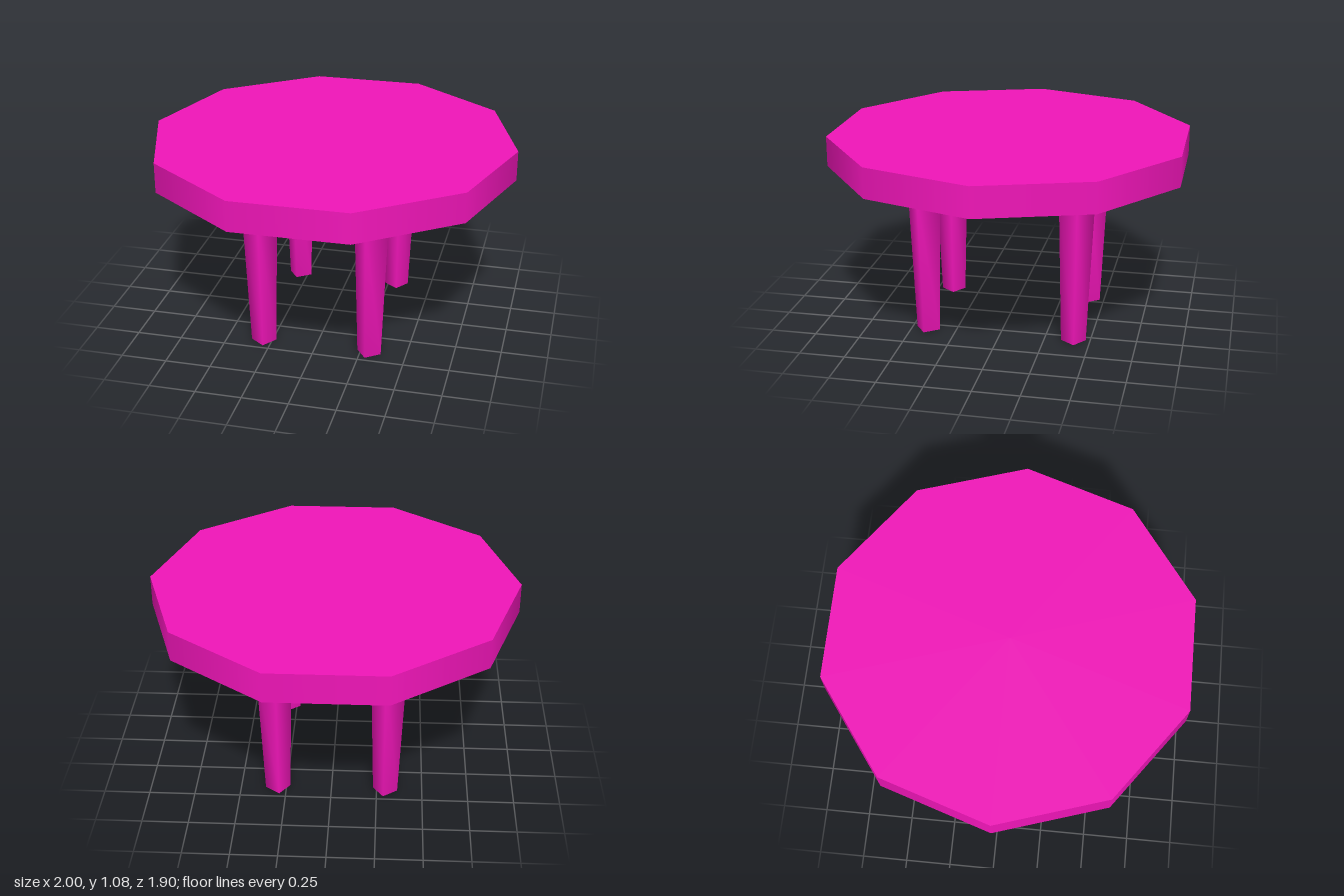
import * as THREE from 'three';

const SIDES = 10, APRON_Y = 0.79, TOP_Y = 0.915, HEIGHT = 1.08;
const R_TOP = 0.47, R_BOTTOM = 0.45; // apron radii

function mesh(name, geometry, material) {
  const m = new THREE.Mesh(geometry, material);
  m.name = name;
  return m;
}

// Geometry from corner points and triangles; shared corners give smooth normals
function solid(points, faces) {
  const g = new THREE.BufferGeometry();
  g.setAttribute('position', new THREE.Float32BufferAttribute(points.flat(), 3));
  g.setIndex(faces.flat());
  g.computeVertexNormals();
  return g;
}

// Square leg section: x runs outward, z along the apron side
const ring = (r, h, y) => [[r + h, y, h], [r - h, y, h], [r - h, y, -h], [r + h, y, -h]];

export function createModel() {
  const group = new THREE.Group();
  const color = 0xf015b8;
  const smooth = new THREE.MeshStandardMaterial({ color });
  const flat = new THREE.MeshStandardMaterial({ color, flatShading: true });

  // Ten-sided table top
  const top = new THREE.CylinderGeometry(1, 1, HEIGHT - TOP_Y, SIDES);
  top.rotateY(Math.PI / 2).translate(0, (HEIGHT + TOP_Y) / 2, 0);
  group.add(mesh('tableTop', top, smooth));

  // Tapered apron under the top
  const apron = new THREE.CylinderGeometry(R_TOP, R_BOTTOM, TOP_Y - APRON_Y, SIDES);
  apron.rotateY(Math.PI / 2).translate(0, (TOP_Y + APRON_Y) / 2, 0);
  group.add(mesh('apron', apron, flat));

  // Leg: tapered shaft whose outer side runs on up to the table top
  const foot = ring(0.505, 0.048, 0);
  const knee = ring(0.514, 0.067, APRON_Y);
  const head = [[0.583, TOP_Y, 0.068], [0.583, TOP_Y, -0.068]];
  const shaftFaces = [];
  for (let i = 0; i < 4; i++) {
    const j = (i + 1) % 4;
    shaftFaces.push([i, i + 4, j + 4], [i, j + 4, j]);
  }
  shaftFaces.push([4, 8, 5], [6, 9, 7], [7, 9, 8], [7, 8, 4]);
  const shaft = solid([...foot, ...knee, ...head], shaftFaces);
  const cap = solid(foot, [[0, 1, 2], [0, 2, 3]]);

  // Gussets spreading from the leg to the ends of its apron side
  const a = Math.PI / SIDES;
  const end = (r, y, s) => [r * Math.cos(a), y, s * r * Math.sin(a)];
  const points = [1, -1].flatMap((s, i) => [
    end(R_BOTTOM, APRON_Y, s), end(R_TOP, TOP_Y, s), knee[1 + i], head[i],
  ]);
  const gusset = solid(points, [
    [2, 3, 0], [0, 3, 1], [4, 7, 6], [5, 7, 4], [0, 4, 6], [0, 6, 2],
  ]);

  // Four legs on alternate apron sides
  for (const [name, degrees] of [['frontLeftLeg', 54], ['frontRightLeg', 126],
    ['backRightLeg', 234], ['backLeftLeg', 306]]) {
    const leg = new THREE.Group();
    leg.name = name;
    leg.add(mesh('shaft', shaft, smooth), mesh('foot', cap, flat), mesh('gusset', gusset, flat));
    leg.rotation.y = -THREE.MathUtils.degToRad(degrees);
    group.add(leg);
  }
  return group;
}
